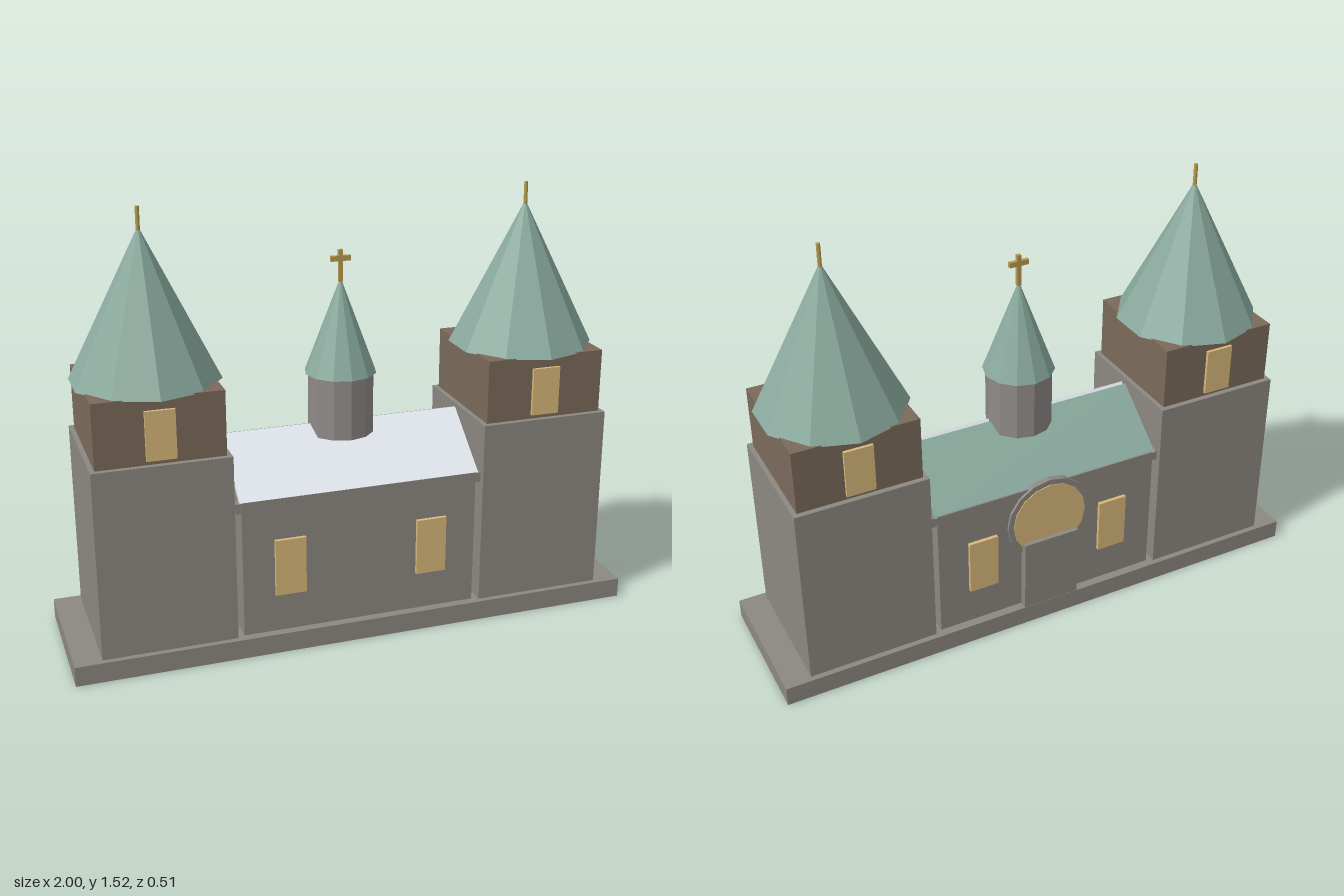
import * as THREE from 'three';

const mat = (color) => new THREE.MeshStandardMaterial({ color, flatShading: true });

export function createModel() {
  const model = new THREE.Group();
  const stone = mat(0x8c8882), brown = mat(0x7b6a5a), copper = mat(0x8aaa9e);
  const pale = mat(0xe2e8ef), glass = mat(0xd9b87a), gold = mat(0xb89c50), drumStone = mat(0x8f8a88);

  const add = (name, geometry, material, x, y, z, parent = model) => {
    const mesh = new THREE.Mesh(geometry, material);
    mesh.name = name;
    mesh.position.set(x, y, z);
    parent.add(mesh);
    return mesh;
  };
  // Box given by its size, centre x and z, and bottom height
  const box = (name, w, h, d, material, x, y0, z, parent) =>
    add(name, new THREE.BoxGeometry(w, h, d), material, x, y0 + h / 2, z, parent);
  // Cone given by its bottom height
  const cone = (name, r, h, sides, x, y0, parent) =>
    add(name, new THREE.ConeGeometry(r, h, sides), copper, x, y0 + h / 2, 0, parent);

  box('plinth', 2, 0.07, 0.508, stone, 0, 0, 0);

  // Two matching towers with belfry, spire and finial
  for (const side of [-1, 1]) {
    const tower = new THREE.Group();
    tower.name = side > 0 ? 'leftTower' : 'rightTower';
    tower.position.x = side * 0.675;
    model.add(tower);
    box('towerShaft', 0.462, 0.66, 0.468, stone, 0, 0.07, 0, tower);
    box('belfry', 0.43, 0.224, 0.43, brown, 0, 0.73, 0, tower);
    for (const z of [-1, 1])
      box('belfryWindow', 0.1, 0.168, 0.02, glass, 0, 0.745, z * 0.216, tower);
    cone('towerSpire', 0.253, 0.505, 10, 0, 0.95, tower);
    add('finial', new THREE.CylinderGeometry(0.007, 0.007, 0.09, 8), gold, 0, 1.473, 0, tower);
  }

  // Central hall with windows on both faces
  box('hallWalls', 0.84, 0.488, 0.446, stone, 0, 0.07, 0);
  for (const z of [-1, 1]) {
    for (const x of [-0.255, 0.255])
      box('hallWindow', 0.108, 0.203, 0.02, glass, x, 0.208, z * 0.226);
    box('eaveBeam', 0.88, 0.035, 0.04, stone, 0, 0.52, z * 0.2);
  }

  // Roof slabs sloping to the ridge, pale in front and green behind
  const slope = Math.atan2(0.17, 0.215);
  const slab = new THREE.BoxGeometry(0.854, 0.015, 0.275);
  add('frontRoof', slab, pale, 0.003, 0.637, 0.11).rotation.x = slope;
  add('backRoof', slab, copper, -0.003, 0.633, -0.11).rotation.x = -slope;

  // Ridge turret with spire and cross
  const turret = new THREE.Group();
  turret.name = 'turret';
  model.add(turret);
  add('turretDrum', new THREE.CylinderGeometry(0.115, 0.115, 0.22, 12), drumStone, 0, 0.8, 0, turret);
  cone('turretSpire', 0.125, 0.33, 12, 0, 0.905, turret);
  box('crossPost', 0.014, 0.11, 0.014, gold, 0, 1.22, 0, turret);
  box('crossArm', 0.07, 0.018, 0.014, gold, 0, 1.291, 0, turret);

  // Back portal below a round window
  box('portal', 0.21, 0.275, 0.04, stone, 0, 0.07, -0.233);
  const disc = (name, r, depth, material, z) => {
    add(name, new THREE.CylinderGeometry(r, r, depth, 16), material, 0, 0.42, z).rotation.x = Math.PI / 2;
  };
  disc('roundWindowFrame', 0.16, 0.022, stone, -0.222);
  disc('roundWindow', 0.14, 0.022, glass, -0.225);

  return model;
}
